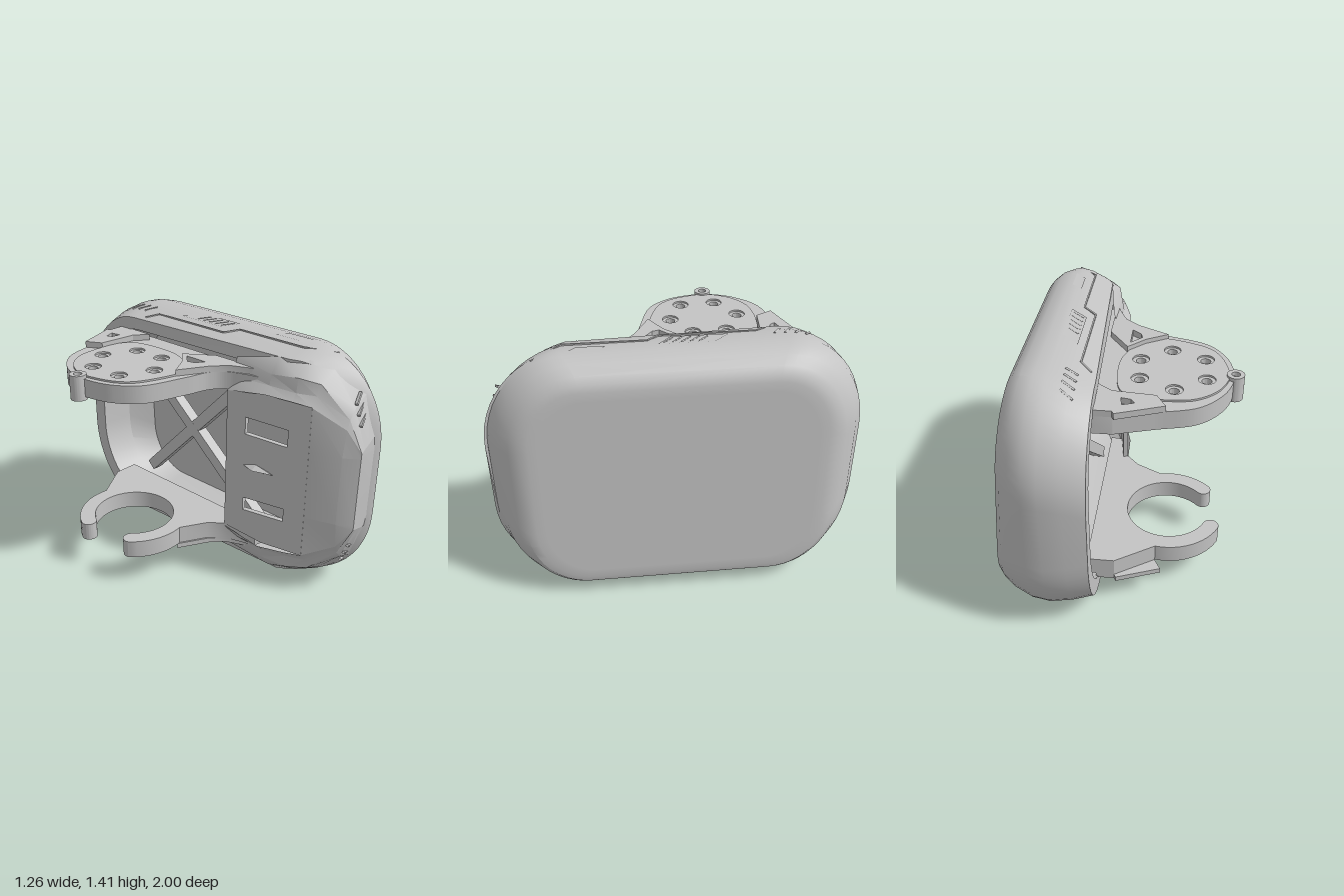
import * as THREE from 'three';
import { toCreasedNormals } from 'three/addons/utils/BufferGeometryUtils.js';

const MID = 0.7;
const grey = new THREE.MeshStandardMaterial({ color: 0xc4c4c4, side: THREE.DoubleSide });
grey.name = 'plain grey';

function add(parent, name, geometry) {
  const mesh = new THREE.Mesh(geometry, grey);
  mesh.name = name;
  parent.add(mesh);
  return mesh;
}

// Grid of points (rows of equal length) to a surface
function loft(rows, crease = 0.6) {
  const n = rows[0].length, index = [];
  for (let i = 0; i < rows.length - 1; i++)
    for (let j = 0; j < n - 1; j++) {
      const a = i * n + j, b = a + n;
      index.push(a, b, a + 1, b, b + 1, a + 1);
    }
  const g = new THREE.BufferGeometry();
  g.setAttribute('position', new THREE.Float32BufferAttribute(rows.flat(2), 3));
  g.setIndex(index);
  return toCreasedNormals(g, crease);
}

// Flat plate from an outline in x and z
function slab(shape, top, thick) {
  const g = new THREE.ExtrudeGeometry(shape, { depth: thick, bevelEnabled: false, curveSegments: 24 });
  g.rotateX(Math.PI / 2);
  g.translate(0, top, 0);
  return toCreasedNormals(g, 0.5);
}
const poly = (pts) => new THREE.Shape(pts.map((p) => new THREE.Vector2(...p)));

function drill(shape, centres, r) {
  for (const [x, z] of centres) shape.holes.push(new THREE.Path().absarc(x, z, r, 0, Math.PI * 2, true));
  return shape;
}

// Straight bar between two points
function bar(a, b, w, h) {
  const p = new THREE.Vector3(...a), q = new THREE.Vector3(...b);
  const m = new THREE.Matrix4().lookAt(p, q, new THREE.Vector3(1, 0.01, 0));
  m.setPosition(p.clone().add(q).multiplyScalar(0.5));
  return new THREE.BoxGeometry(w, h, p.distanceTo(q)).applyMatrix4(m);
}

// Shell sections: x, half length, bottom, top, corner radius along z, along y
const INNER = [[0.46, 0, 0.69, 0.69, 0, 0], [0.46, 0.78, 0.16, 1.22, 0.27, 0.3],
  [0.3, 0.88, 0.12, 1.28, 0.36, 0.42], [0.09, 0.89, 0.12, 1.28, 0.36, 0.43]];
const OUTER = [[0.09, 0.98, 0.05, 1.35, 0.42, 0.5], [0.2, 0.995, 0.02, 1.385, 0.42, 0.5],
  [0.32, 1, 0, 1.4, 0.42, 0.5], [0.42, 0.985, 0.005, 1.4, 0.42, 0.5], [0.52, 0.935, 0.03, 1.385, 0.4, 0.47],
  [0.59, 0.87, 0.06, 1.35, 0.36, 0.42], [0.625, 0.82, 0.095, 1.315, 0.32, 0.36],
  [0.635, 0.77, 0.13, 1.28, 0.28, 0.32], [0.635, 0.72, 0.18, 1.23, 0.25, 0.29], [0.635, 0, 0.705, 0.705, 0, 0]];

function section([x, hz, y0, y1, rz, ry]) {
  const row = [], hy = (y1 - y0) / 2, cy = (y0 + y1) / 2;
  for (let q = 0; q < 4; q++)
    for (let k = 0; k <= 12; k++) {
      const a = (q + k / 12) * Math.PI / 2;
      const sz = q === 0 || q === 3 ? 1 : -1, sy = q < 2 ? 1 : -1;
      const z = sz * (hz - rz) + rz * Math.cos(a), y = cy + sy * (hy - ry) + ry * Math.sin(a);
      const lean = 0.083 * (y - 0.1) * THREE.MathUtils.clamp((x - 0.3) / 0.33, 0, 1);
      // the open edge is cut back towards the front end
      const cut = x < 0.42 ? Math.max(0, z - 0.45) * 0.5 * (0.42 - x) / 0.33 : 0;
      row.push([x - lean + cut, y, z]);
    }
  row.push([...row[0]]);
  return row;
}

// Height of the shell's upper side at x, z
function roof(x, z) {
  let i = 0;
  while (x > OUTER[i + 1][0]) i++;
  const t = (x - OUTER[i][0]) / (OUTER[i + 1][0] - OUTER[i][0]);
  const top = THREE.MathUtils.lerp(OUTER[i][3], OUTER[i + 1][3], t);
  const over = Math.min(1, Math.max(0, Math.abs(z) - 0.575) / 0.42);
  return top - 0.5 * (1 - Math.sqrt(1 - over * over));
}
const onRoof = ([x, z], lift) => [x, roof(x, z) + lift, z];

// Top half of details repeated upside down below
function mirrored(parent, name, build) {
  for (const side of [1, -1]) {
    const g = new THREE.Group();
    g.name = (side > 0 ? 'upper ' : 'lower ') + name;
    g.scale.y = side;
    g.position.y = side > 0 ? 0 : 2 * MID;
    build(g);
    parent.add(g);
  }
}

export function createModel() {
  const model = new THREE.Group();
  model.name = 'shellCoverWithBrackets';

  add(model, 'shell', loft([...INNER, ...OUTER].map(section), 0.45));

  // Crossed struts inside the cavity
  add(model, 'strut', bar([0.24, 1.14, -0.72], [0.24, 0.16, 0.45], 0.07, 0.07));
  add(model, 'strut', bar([0.24, 1.14, 0.25], [0.24, 0.3, -0.57], 0.07, 0.07));

  // Side panel near the front with two windows
  const panel = poly([[0, 0.28], [0.25, 0.24], [0.506, 0.25], [0.506, 1.15], [0.25, 1.17], [0, 1.13]]);
  for (const [lo, hi, slope] of [[0.42, 0.51, -0.02], [0.9, 0.99, 0.02]])
    panel.holes.push(new THREE.Path([[0.12, lo], [0.38, lo - slope / 2], [0.38, hi], [0.12, hi + slope / 2]]
      .map((p) => new THREE.Vector2(...p))));
  const side = new THREE.ExtrudeGeometry(panel, { depth: 0.03, bevelEnabled: false });
  side.rotateY(-1.412);
  side.translate(0.05, 0, 0.25);
  add(model, 'sidePanel', side);
  const fin = add(model, 'panelFin', new THREE.OctahedronGeometry(1));
  fin.scale.set(0.04, 0.022, 0.12);
  fin.position.set(0.05, 0.71, 0.45);

  // Slanted front panel, wrapping round to the shell
  add(model, 'frontPanel', loft([
    [[0.1, 0.25, 0.75], [0.1, 0.5, 0.75], [0.1, 0.9, 0.75], [0.1, 1.15, 0.75]],
    [[0.18, 0.35, 0.92], [0.16, 0.5, 0.92], [0.16, 0.9, 0.92], [0.18, 1.05, 0.92]],
    [[0.22, 0.47, 0.995], [0.22, 0.5, 0.995], [0.22, 0.9, 0.995], [0.22, 0.93, 0.995]],
    [[0.41, 0.41, 0.97], [0.41, 0.5, 0.98], [0.41, 0.9, 0.98], [0.41, 0.99, 0.97]]], 0.35));

  mirrored(model, 'cheek', (g) => {
    add(g, 'cheek', loft([
      [[0.02, 1.13, 0.25], [0.06, 1.2, 0.25], [0.08, 1.24, 0.25], [0.1, 1.3, 0.25]],
      [[0.03, 1.17, 0.5], [0.07, 1.21, 0.5], [0.08, 1.27, 0.5], [0.14, 1.35, 0.5]],
      [[0.07, 1.16, 0.65], [0.1, 1.2, 0.65], [0.11, 1.28, 0.65], [0.21, 1.35, 0.65]],
      [[0.1, 1.15, 0.75], [0.14, 1.2, 0.75], [0.16, 1.26, 0.76], [0.27, 1.31, 0.76]],
      [[0.18, 1.05, 0.92], [0.2, 1.1, 0.92], [0.25, 1.15, 0.915], [0.37, 1.2, 0.905]],
      [[0.22, 0.93, 0.995], [0.25, 0.939, 0.991], [0.3, 0.955, 0.985], [0.41, 0.99, 0.97]]], 0.5));
    for (let i = 0; i < 3; i++) {
      const y = 1.19 - i * 0.055;
      const slit = add(g, 'cheekSlit', new THREE.BoxGeometry(0.085, 0.012, 0.016));
      slit.position.set(0.285, y, 0.913 + 0.072 * (1.165 - y) / 0.21);
      slit.rotation.set(-0.35, 0.15, 0.55);
    }
  });

  // Trim lines, inlays and vents on the long sides
  mirrored(model, 'trim', (g) => {
    const line = [[0.12, -0.49], [0.18, -0.43], [0.18, 0.08], [0.25, 0.14], [0.25, 0.57], [0.36, 0.72]];
    for (let i = 1; i < line.length; i++)
      add(g, 'trimLine', bar(onRoof(line[i - 1], 0), onRoof(line[i], 0), 0.008, 0.008));
    const inlays = { longInlay: [[0.22, -0.28], [0.31, -0.2], [0.22, 0.02], [0.31, 0.09]],
      smallInlay: [[0.3, 0.35], [0.36, 0.4], [0.3, 0.5], [0.36, 0.56]] };
    for (const [name, p] of Object.entries(inlays)) {
      const q = p.map((c) => onRoof(c, 0.003));
      add(g, name, loft([[q[0], q[1]], [q[2], q[3]]]));
    }
    for (let i = 0; i < 5; i++) {
      const z = -0.17 + i * 0.045;
      add(g, 'inlayRib', bar(onRoof([0.235, z], 0.001), onRoof([0.295, z + 0.05], 0.001), 0.008, 0.008));
    }
    for (let i = 0; i < 4; i++) {
      const z = -0.72 + i * 0.055;
      add(g, 'ventSlit', bar(onRoof([0.175, z], 0), onRoof([0.24, z + 0.04], 0), 0.01, 0.01));
    }
  });

  // Upper bracket
  const upper = new THREE.Group();
  upper.name = 'upperBracket';
  model.add(upper);
  const holes = [[-0.28, -0.42], [-0.1, -0.33], [-0.09, -0.14], [-0.25, -0.03], [-0.43, -0.11], [-0.44, -0.31]];
  const body = poly([[0.15, -0.68], [0, -0.68]]);
  body.splineThru([[-0.2, -0.62], [-0.4, -0.56], [-0.52, -0.44], [-0.575, -0.3], [-0.575, -0.18], [-0.53, -0.04],
    [-0.42, 0.08], [-0.2, 0.15], [-0.05, 0.19], [0.03, 0.27], [0.08, 0.44]].map((p) => new THREE.Vector2(...p)));
  body.lineTo(0.15, 0.45);
  add(upper, 'bracketBody', slab(drill(body, holes, 0.026), 1.235, 0.1));
  const disc = new THREE.Shape().moveTo(-0.24, -0.52);
  disc.splineThru([[-0.08, -0.5], [0, -0.42], [0.02, -0.2], [-0.02, -0.05], [-0.1, 0.03], [-0.18, 0.1], [-0.4, 0.04],
    [-0.5, -0.05], [-0.55, -0.2], [-0.55, -0.3], [-0.49, -0.42], [-0.38, -0.5], [-0.24, -0.52]]
    .map((p) => new THREE.Vector2(...p)));
  add(upper, 'discPlate', slab(drill(disc, holes, 0.045), 1.245, 0.01));
  const pin = new THREE.Shape().absarc(-0.585, -0.26, 0.046, 0, Math.PI * 2);
  add(upper, 'pinSocket', slab(drill(pin, [[-0.585, -0.26]], 0.022), 1.255, 0.14));

  // Corner pads, shared by both brackets
  const pads = [[[-0.25, -0.61], [-0.01, -0.7], [0, -0.68], [0.1, -0.68], [0.1, -0.44], [0.02, -0.5], [-0.2, -0.52]],
    [[-0.22, 0.1], [-0.1, 0.03], [-0.01, -0.06], [0.1, 0.1], [0.1, 0.42], [0.03, 0.26], [-0.05, 0.19]]];
  const cutouts = [[[-0.1, -0.6], [-0.04, -0.62], [-0.03, -0.56], [-0.08, -0.57]],
    [[-0.08, 0.05], [-0.02, -0.01], [-0.02, 0.13], [-0.07, 0.09]]];
  pads.forEach((p, i) => {
    const pad = poly(p);
    pad.holes.push(new THREE.Path(cutouts[i].map((c) => new THREE.Vector2(...c))));
    add(upper, 'cornerPad', slab(pad, 1.27, 0.035));
    add(model, 'lowerCornerPad', slab(pad, 0.18, 0.03));
  });

  // Lower bracket: an open ring with rounded tips on a flared root
  const lower = new THREE.Group();
  lower.name = 'lowerBracket';
  model.add(lower);
  const cx = -0.265, cz = -0.22, a0 = -2.7, a1 = 2.38, r = 0.282, w = 0.045;
  const ring = new THREE.Shape();
  ring.absarc(cx, cz, r + w, a0, a1, false);
  ring.absarc(cx + r * Math.cos(a1), cz + r * Math.sin(a1), w, a1, a1 + Math.PI, false);
  ring.absarc(cx, cz, r - w, a1, a0, true);
  ring.absarc(cx + r * Math.cos(a0), cz + r * Math.sin(a0), w, a0 + Math.PI, a0 + 2 * Math.PI, false);
  add(lower, 'clampRing', slab(ring, 0.285, 0.105));
  add(lower, 'clampRoot', slab(poly([[0.15, -0.68], [0, -0.68], [-0.22, -0.54], [-0.1, -0.42], [-0.02, -0.32],
    [0, -0.22], [-0.02, -0.12], [-0.1, -0.02], [-0.2, 0.1], [-0.05, 0.18], [0.03, 0.27], [0.08, 0.44], [0.15, 0.45]]),
    0.285, 0.105));
  return model;
}
